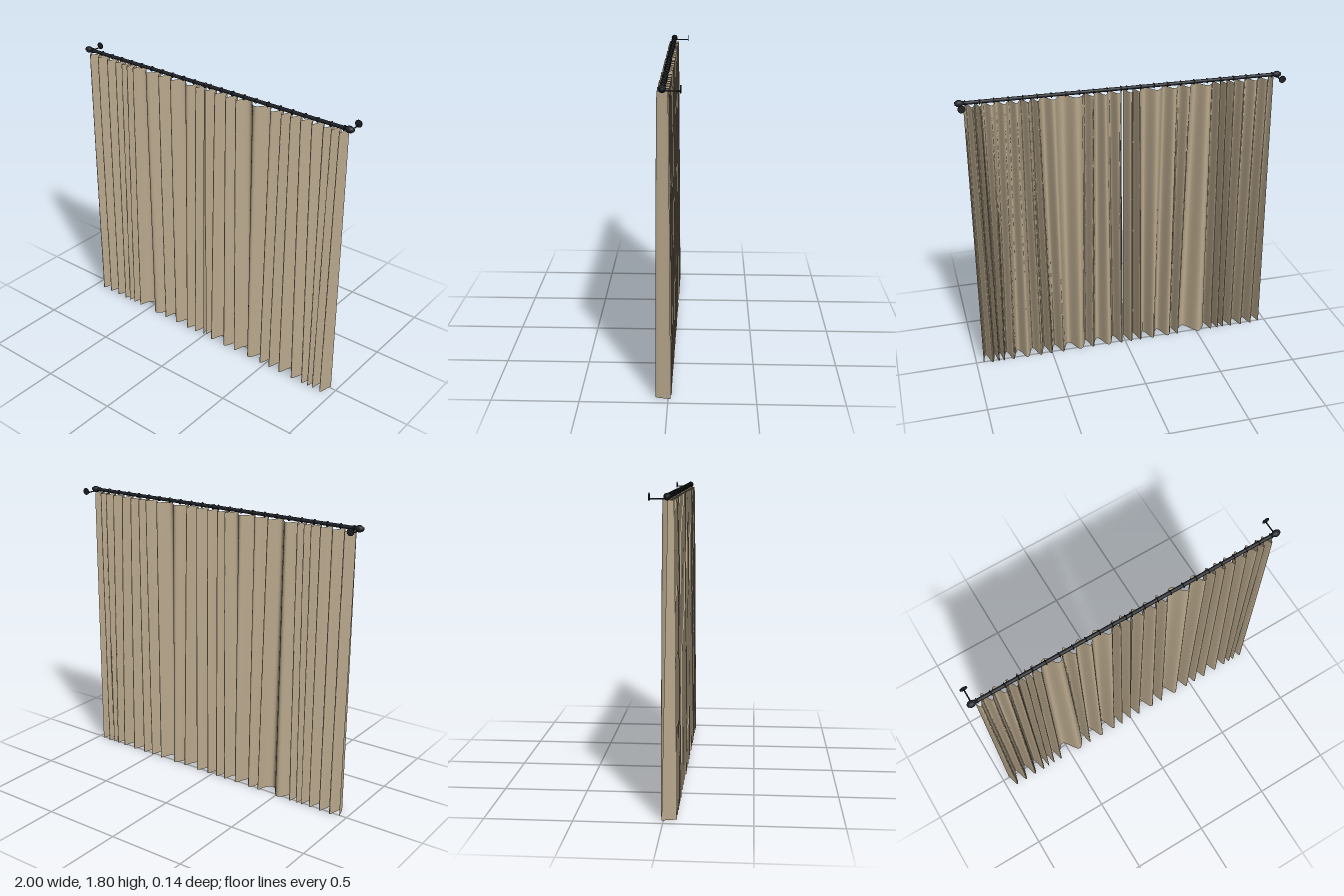
import * as THREE from 'three';

const ROD_Y = 1.78, ROD_Z = 0.027, CLOTH_TOP = 1.762;

// x of each fold's descending flank at the top and bottom of the cloth
const FOLDS = {
  rightPanel: {
    from: -0.955, to: -0.004,
    top: [-0.99, -0.92, -0.85, -0.765, -0.70, -0.65, -0.61, -0.555, -0.42, -0.335, -0.235, -0.10, -0.055, 0.02],
    bottom: [-0.98, -0.91, -0.84, -0.765, -0.70, -0.665, -0.62, -0.56, -0.38, -0.325, -0.215, -0.12, -0.06, 0.02],
  },
  leftPanel: {
    from: 0.005, to: 0.955,
    top: [-0.05, 0.02, 0.10, 0.18, 0.25, 0.405, 0.51, 0.565, 0.63, 0.70, 0.775, 0.85, 0.89, 0.945, 1.0],
    bottom: [-0.06, 0.01, 0.085, 0.205, 0.275, 0.405, 0.49, 0.555, 0.64, 0.74, 0.81, 0.845, 0.88, 0.945, 1.0],
  },
};

// Cloth sheet whose folds follow the flank positions and deepen downwards
function curtainGeometry({ from, to, top, bottom }) {
  const geo = new THREE.PlaneGeometry(to - from, CLOTH_TOP, 260, 20);
  geo.translate((from + to) / 2, CLOTH_TOP / 2, 0);
  const pos = geo.attributes.position;
  for (let i = 0; i < pos.count; i++) {
    const x = pos.getX(i), drop = 1 - pos.getY(i) / CLOTH_TOP;
    const flanks = top.map((t, k) => THREE.MathUtils.lerp(t, bottom[k], drop));
    let k = 0;
    while (k < flanks.length - 2 && x > flanks[k + 1]) k++;
    const phase = k + (x - flanks[k]) / (flanks[k + 1] - flanks[k]);
    const depth = 0.032 + 0.0145 * Math.pow(drop, 0.7);
    pos.setZ(i, ROD_Z - depth * Math.sin(phase * Math.PI * 2));
  }
  geo.computeVertexNormals();
  return geo;
}

export function createModel() {
  const group = new THREE.Group();
  const cloth = new THREE.MeshStandardMaterial({ color: 0xbaa98d, side: THREE.DoubleSide });
  cloth.name = 'beige cloth';
  const metal = new THREE.MeshStandardMaterial({ color: 0x1e2126 });
  metal.name = 'black metal';

  const add = (name, geo, mat, x = 0, y = 0, z = 0) => {
    const mesh = new THREE.Mesh(geo, mat);
    mesh.name = name;
    mesh.position.set(x, y, z);
    group.add(mesh);
    return mesh;
  };

  // Curtains
  for (const [name, folds] of Object.entries(FOLDS)) add(name, curtainGeometry(folds), cloth);

  // Rod
  const rod = new THREE.CylinderGeometry(0.011, 0.011, 1.94, 20).rotateZ(Math.PI / 2);
  add('rod', rod, metal, 0, ROD_Y, ROD_Z);

  // Rings, finials and wall brackets, mirrored
  const ring = new THREE.TorusGeometry(0.0145, 0.0025, 8, 20).rotateY(Math.PI / 2);
  const finial = new THREE.LatheGeometry([
    [0, -0.026], [0.013, -0.026], [0.013, -0.02], [0.017, -0.016], [0.02, -0.006],
    [0.02, 0.006], [0.016, 0.015], [0.011, 0.02], [0.011, 0.024], [0, 0.024],
  ].map(([r, h]) => new THREE.Vector2(r, h)), 20).rotateZ(-Math.PI / 2);
  const arm = new THREE.CylinderGeometry(0.004, 0.004, 0.097, 12).rotateX(Math.PI / 2);
  const plate = new THREE.CylinderGeometry(0.022, 0.022, 0.005, 24).rotateX(Math.PI / 2);

  for (const side of [-1, 1]) {
    for (let i = 0; i < 12; i++) add('ring', ring, metal, side * (0.018 + i * 0.084), ROD_Y, ROD_Z);
    add('finial', finial, metal, side * 0.976, ROD_Y, ROD_Z).rotation.y = side < 0 ? Math.PI : 0;
    add('bracketArm', arm, metal, side * 0.972, 1.769, -0.021);
    add('wallPlate', plate, metal, side * 0.972, 1.779, -0.069);
  }
  return group;
}
